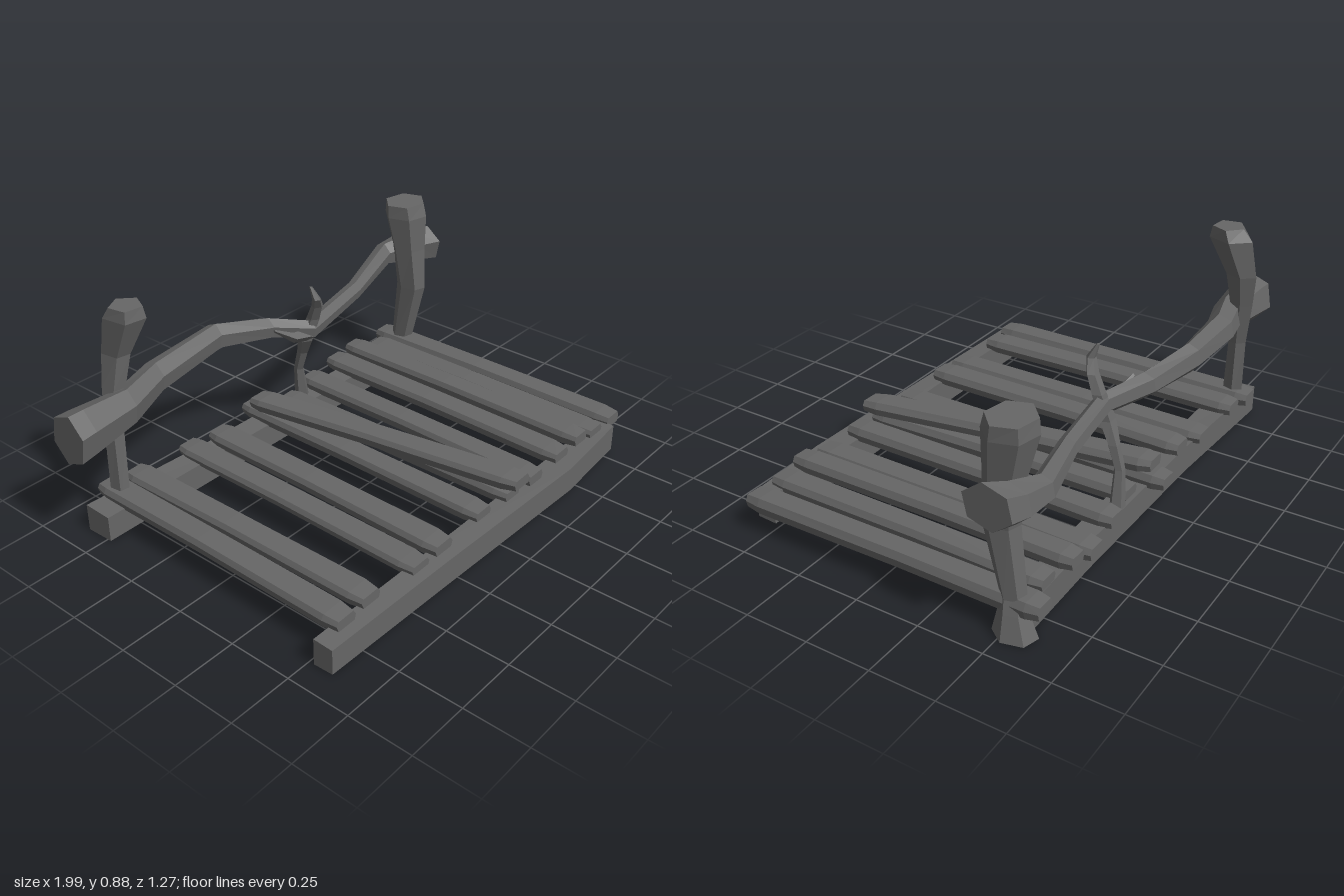
import * as THREE from 'three';

const wood = new THREE.MeshStandardMaterial({ color: 0x666666, flatShading: true });
wood.name = 'weathered grey wood';

// Cross-sections, counter-clockwise, within -1..1
const ring = (n, turn = 0) => Array.from({ length: n }, (_, i) => {
  const a = turn + (i / n) * Math.PI * 2;
  return [Math.cos(a) * 1.04, Math.sin(a) * 1.04];
});
const BEAM = [[-1, -1], [1, -1], [0.93, 1], [-0.93, 1]];
const PLANK = [[-0.8, -1], [0.85, -1], [1, 0.1], [0.75, 1], [-0.8, 0.9], [-1, 0.2]];

// Skins a section along an axis. Station: [along, centreU, centreV, halfU, halfV]
// axis x: u = y, v = z | axis y: u = z, v = x | axis z: u = x, v = y
function loft(name, axis, section, stations) {
  const k = 'xyz'.indexOf(axis);
  const rings = stations.map(([a, cu, cv, hu, hv]) => section.map(([u, v]) => {
    const p = [0, 0, 0];
    p[k] = a;
    p[(k + 1) % 3] = cu + u * hu;
    p[(k + 2) % 3] = cv + v * hv;
    return p;
  }));
  const n = section.length, out = [];
  const tri = (a, b, c) => out.push(...a, ...b, ...c);
  for (let i = 0; i < rings.length - 1; i++) {
    for (let j = 0; j < n; j++) {
      const m = (j + 1) % n, A = rings[i], B = rings[i + 1];
      tri(A[j], A[m], B[m]);
      tri(A[j], B[m], B[j]);
    }
  }
  const first = rings[0], last = rings[rings.length - 1];
  for (let j = 1; j < n - 1; j++) {
    tri(first[0], first[j + 1], first[j]);
    tri(last[0], last[j], last[j + 1]);
  }
  const geo = new THREE.BufferGeometry();
  geo.setAttribute('position', new THREE.Float32BufferAttribute(out, 3));
  geo.computeVertexNormals();
  const mesh = new THREE.Mesh(geo, wood);
  mesh.name = name;
  return mesh;
}

// Plank running back to front with worn, tapered ends
function plank(name, xBack, xFront, half, zBack, zFront, y, halfY) {
  const at = (t, s, dy = 0) => [
    zBack + (zFront - zBack) * t, xBack + (xFront - xBack) * t, y + dy, half * s, halfY * (s > 0.9 ? 1 : 0.8),
  ];
  return loft(name, 'z', PLANK, [at(0, 0.82), at(0.04, 1), at(0.45, 0.94, 0.003), at(0.95, 1), at(1, 0.85)]);
}

export function createModel() {
  const model = new THREE.Group();
  model.name = 'brokenFootbridge';

  // Ground beams
  model.add(loft('frontBeam', 'x', BEAM, [
    [-0.9, 0.053, 0.56, 0.053, 0.04], [-0.3, 0.056, 0.57, 0.056, 0.043],
    [0.45, 0.056, 0.58, 0.056, 0.053], [0.81, 0.06, 0.565, 0.06, 0.04],
  ]));
  model.add(loft('backBeam', 'x', BEAM, [
    [-0.9, 0.055, -0.54, 0.055, 0.06], [-0.3, 0.055, -0.525, 0.055, 0.045],
    [0.45, 0.055, -0.52, 0.055, 0.045], [0.86, 0.055, -0.525, 0.055, 0.05],
  ]));

  // Deck: back x, front x, half width, back z, front z, centre y, half height
  const deck = [
    [-0.775, -0.785, 0.055, -0.63, 0.56, 0.125, 0.028],
    [-0.66, -0.65, 0.055, -0.61, 0.55, 0.128, 0.026],
    [-0.4, -0.41, 0.055, -0.6, 0.57, 0.122, 0.024],
    [-0.265, -0.28, 0.057, -0.57, 0.57, 0.13, 0.027],
    [-0.025, -0.03, 0.053, -0.63, 0.56, 0.125, 0.027],
    [0.115, 0.14, 0.052, -0.55, 0.57, 0.125, 0.027],
    [0.295, 0.28, 0.053, -0.59, 0.58, 0.13, 0.027],
    [0.49, 0.475, 0.055, -0.62, 0.57, 0.128, 0.027],
    [0.6, 0.595, 0.05, -0.61, 0.58, 0.152, 0.027],
    [0.72, 0.71, 0.053, -0.57, 0.58, 0.128, 0.025],
    [0.84, 0.845, 0.052, -0.63, 0.58, 0.12, 0.03],
  ];
  deck.forEach((d, i) => model.add(plank('deckPlank' + (i + 1), ...d)));
  model.add(plank('loosePlank', -0.035, 0.16, 0.055, -0.57, 0.595, 0.18, 0.027));

  // Posts
  model.add(loft('leftPost', 'y', ring(5, 0.5), [
    [0.1, -0.55, -0.78, 0.04, 0.03], [0.37, -0.56, -0.765, 0.035, 0.035],
    [0.55, -0.575, -0.735, 0.045, 0.04], [0.68, -0.575, -0.71, 0.06, 0.045],
    [0.83, -0.53, -0.69, 0.085, 0.07], [0.875, -0.515, -0.69, 0.06, 0.06],
  ]));
  model.add(loft('rightPost', 'y', ring(6, 0.3), [
    [0, -0.535, 0.865, 0.078, 0.063], [0.09, -0.525, 0.86, 0.05, 0.045],
    [0.14, -0.52, 0.85, 0.045, 0.042], [0.4, -0.475, 0.85, 0.065, 0.05],
    [0.58, -0.49, 0.85, 0.07, 0.07], [0.73, -0.51, 0.85, 0.09, 0.09],
    [0.785, -0.515, 0.85, 0.08, 0.09],
  ]));

  // Crooked handrail
  model.add(loft('handrail', 'x', ring(6, 0.2), [
    [-0.995, 0.47, -0.515, 0.1, 0.085], [-0.93, 0.475, -0.515, 0.095, 0.08],
    [-0.73, 0.485, -0.52, 0.073, 0.06], [-0.55, 0.51, -0.57, 0.06, 0.055],
    [-0.22, 0.535, -0.595, 0.055, 0.042], [0, 0.505, -0.53, 0.045, 0.042],
    [0.15, 0.47, -0.44, 0.04, 0.035], [0.5, 0.495, -0.505, 0.036, 0.036],
    [0.8, 0.53, -0.595, 0.05, 0.042], [0.92, 0.535, -0.56, 0.07, 0.07],
    [0.995, 0.545, -0.52, 0.08, 0.09],
  ]));

  // Thin branch propping the rail, with its twigs
  model.add(loft('branchProp', 'y', ring(5), [
    [0.1, -0.54, 0.2, 0.03, 0.03], [0.25, -0.53, 0.175, 0.02, 0.02],
    [0.34, -0.5, 0.17, 0.024, 0.022], [0.42, -0.46, 0.15, 0.03, 0.035],
    [0.52, -0.43, 0.165, 0.028, 0.028], [0.585, -0.4, 0.155, 0.022, 0.025],
    [0.63, -0.38, 0.13, 0.018, 0.017], [0.68, -0.4, 0.12, 0.006, 0.006],
  ]));
  model.add(loft('sideTwig', 'x', ring(4), [
    [-0.02, 0.518, -0.47, 0.006, 0.006], [0.06, 0.465, -0.445, 0.022, 0.02],
    [0.16, 0.445, -0.44, 0.028, 0.025],
  ]));
  return model;
}
